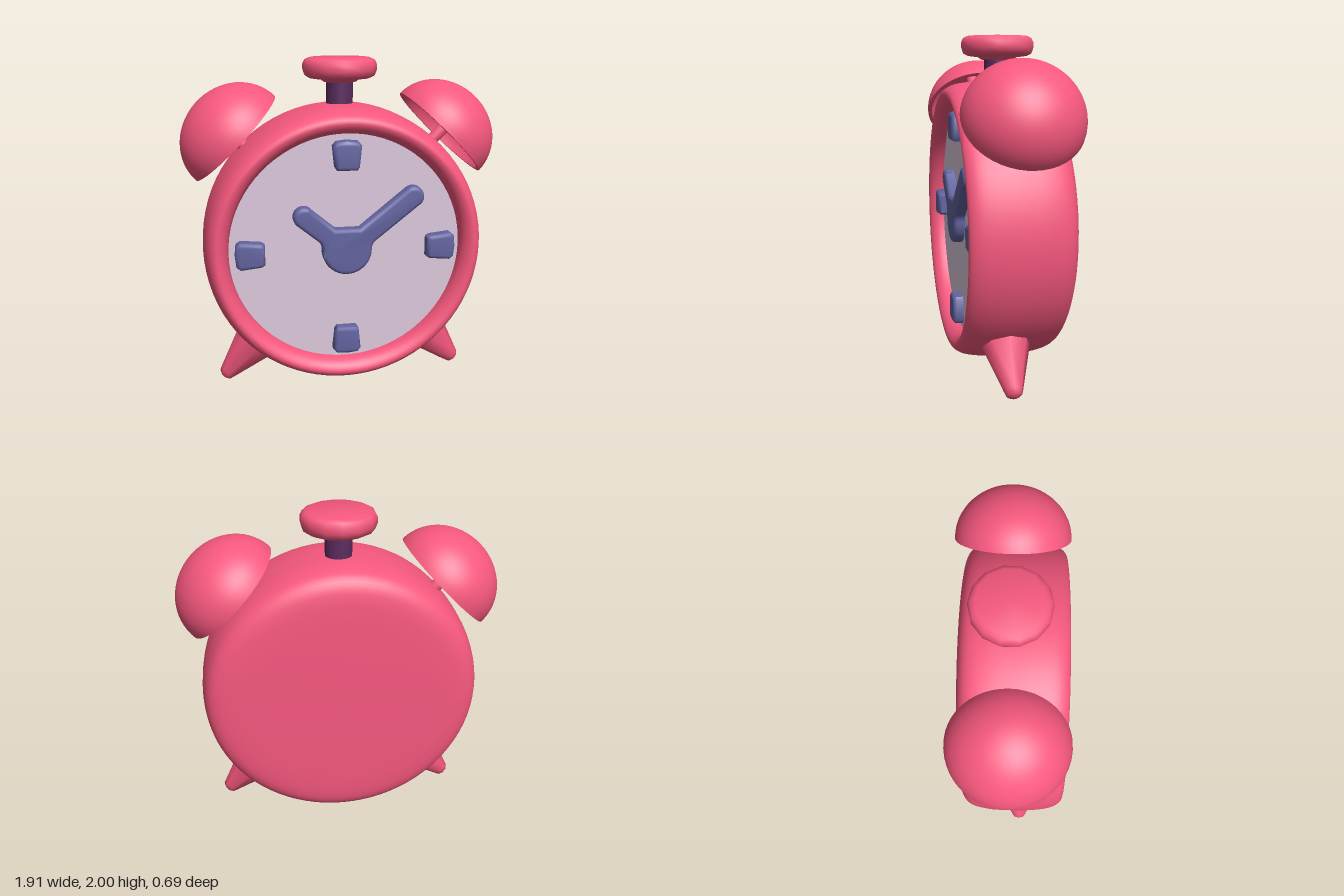
import * as THREE from 'three';
import { toCreasedNormals } from 'three/addons/utils/BufferGeometryUtils.js';

const material = (color) => new THREE.MeshStandardMaterial({ color });
const red = material(0xf7587e);
const lilac = material(0xdcc8dc);
const blue = material(0x6364a0);
const plum = material(0x5c2c5e);

const CENTRE_Y = 0.88;
const FACE_Z = 0.235;
const v2 = (p) => new THREE.Vector2(...p);

function part(parent, name, geometry, mat) {
  const mesh = new THREE.Mesh(toCreasedNormals(geometry, 0.9), mat);
  mesh.name = name;
  parent.add(mesh);
  return mesh;
}

const lathe = (points, segments) => new THREE.LatheGeometry(points.map(v2), segments);

// Turns a lathe-like part so its own y axis follows a direction
function aim(mesh, position, direction) {
  mesh.position.set(...position);
  mesh.quaternion.setFromUnitVectors(
    new THREE.Vector3(0, 1, 0), new THREE.Vector3(...direction).normalize());
}

// Rounded slab rising from the dial
function raised(shape) {
  const geometry = new THREE.ExtrudeGeometry(shape, {
    depth: 0.05, curveSegments: 12,
    bevelSize: 0.025, bevelOffset: -0.025, bevelThickness: 0.025, bevelSegments: 4,
  });
  return geometry.translate(0, 0, FACE_Z - 0.01);
}

export function createModel() {
  const model = new THREE.Group();
  model.name = 'alarmClock';

  // Drum-shaped case with a soft back edge and a rolled front rim
  const curve = new THREE.SplineCurve([
    [0.56, -0.302], [0.68, -0.295], [0.765, -0.275], [0.82, -0.225], [0.846, -0.12], [0.852, 0],
    [0.85, 0.12], [0.837, 0.23], [0.815, 0.295], [0.78, 0.328], [0.74, 0.315],
    [0.71, 0.275], [0.7, FACE_Z - 0.02],
  ].map(v2));
  const profile = [v2([0, -0.303]), ...curve.getPoints(40)];
  const body = part(model, 'case', new THREE.LatheGeometry(profile, 80), red);
  body.rotation.x = Math.PI / 2;
  body.position.y = CENTRE_Y;

  const dial = part(model, 'dial', new THREE.CircleGeometry(0.708, 80), lilac);
  dial.position.set(0, CENTRE_Y, FACE_Z);

  // Four tapered hour markers
  const wedge = new THREE.Shape([
    [-0.06, 0.49], [0.06, 0.49], [0.073, 0.51], [0.086, 0.635],
    [0.065, 0.66], [0, 0.667], [-0.065, 0.66], [-0.086, 0.635], [-0.073, 0.51],
  ].map(v2));
  for (let i = 0; i < 4; i++) {
    const marker = part(model, 'hourMarker', raised(wedge), blue);
    marker.position.y = CENTRE_Y;
    marker.rotation.z = i * Math.PI / 2;
  }

  // Both hands and the hub in one outline
  const hands = new THREE.Shape();
  hands.moveTo(-0.07, 1.02);
  hands.lineTo(-0.217, 1.143);
  hands.absarc(-0.258, 1.098, 0.063, 0.85, 3.95, false);
  hands.lineTo(-0.165, 0.94);
  hands.quadraticCurveTo(-0.15, 0.92, -0.148, 0.88);
  hands.absarc(0, 0.885, 0.15, Math.PI, 2 * Math.PI, false);
  hands.quadraticCurveTo(0.15, 0.92, 0.175, 0.94);
  hands.lineTo(0.438, 1.148);
  hands.absarc(0.4, 1.198, 0.065, -0.9, 2.25, false);
  hands.lineTo(0.075, 1.02);
  hands.closePath();
  part(model, 'clockHands', raised(hands), blue);

  // Push button on top
  const post = part(model, 'buttonPost', new THREE.CylinderGeometry(0.08, 0.08, 0.2, 24), plum);
  post.position.y = 1.77;
  part(model, 'button', lathe([
    [0, 1.855], [0.1, 1.857], [0.12, 1.872], [0.185, 1.88], [0.21, 1.893], [0.222, 1.925],
    [0.222, 1.96], [0.21, 1.985], [0.185, 1.997], [0, 2],
  ], 14), red);

  // Hollow bell dome: inner shell down to the lip, then outer shell up
  const dome = [];
  for (let i = 0; i <= 16; i++) {
    const a = (1 - i / 16) * Math.PI / 2;
    dome.push([0.318 * Math.cos(a), 0.28 * Math.sin(a)]);
  }
  for (let i = 0; i <= 16; i++) {
    const a = i / 16 * Math.PI / 2;
    dome.push([0.343 * Math.cos(a), 0.306 * Math.sin(a)]);
  }

  for (const [side, s] of [['left', 1], ['right', -1]]) {
    const bell = part(model, side + 'Bell', lathe(dome, 48), red);
    aim(bell, [s * 0.63, 1.535, 0], [s, 1, 0]);

    const stem = part(model, side + 'BellStem', new THREE.CylinderGeometry(0.037, 0.037, 0.42, 16), red);
    aim(stem, [s * 0.69, 1.595, 0], [s, 1, 0]);

    // Tapered faceted foot with a rounded tip
    const foot = part(model, side + 'Foot', lathe([
      [0, 0], [0.142, 0], [0.056, 0.265], [0.046, 0.292], [0.024, 0.306], [0, 0.308],
    ].map(([r, y]) => [r, -y]).reverse(), 8), red);
    aim(foot, [s * 0.555, 0.245, 0.075], [-s * 0.19, 0.21, 0]);
  }
  return model;
}
